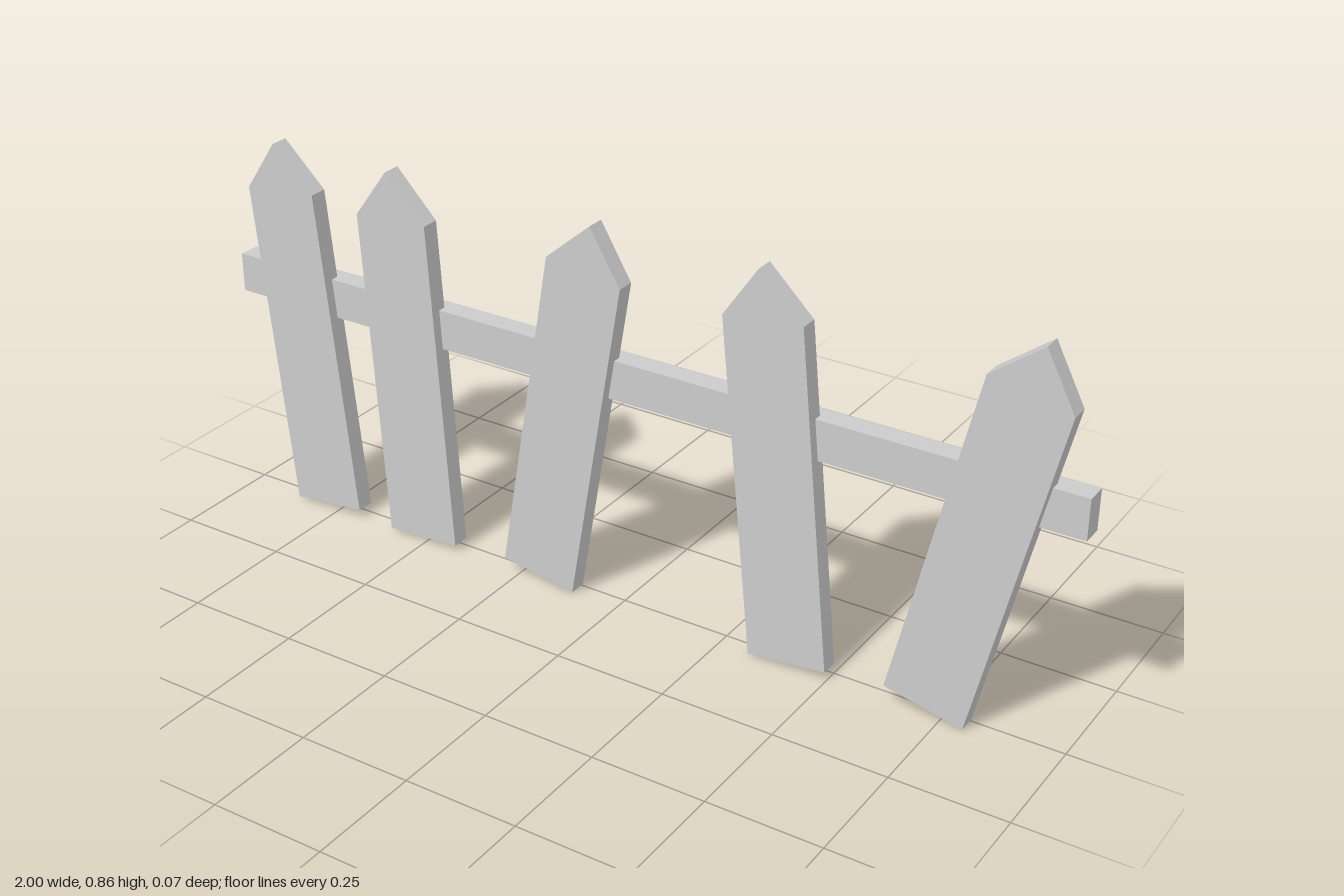
import * as THREE from 'three';

const WIDTH = 0.177, SHOULDER = 0.745, TIP = 0.85, DEPTH = 0.041;

// bottom-centre x, bottom-centre y, lean in degrees (positive leans toward -x)
const PICKETS = [
  [-0.775, 0.012, 6.0],
  [-0.508, 0.01, 3.7],
  [-0.198, 0.016, -9.4],
  [0.409, 0.012, 6.0],
  [0.714, 0.02, -12.6],
];

export function createModel() {
  const fence = new THREE.Group();
  fence.name = 'picketFence';
  const material = new THREE.MeshStandardMaterial({ color: 0xcccccc, flatShading: true });

  // Pointed board shared by all pickets
  const outline = new THREE.Shape([
    [-WIDTH / 2, 0], [WIDTH / 2, 0], [WIDTH / 2, SHOULDER], [0, TIP], [-WIDTH / 2, SHOULDER],
  ].map(([x, y]) => new THREE.Vector2(x, y)));
  const board = new THREE.ExtrudeGeometry(outline, { depth: DEPTH, bevelEnabled: false });

  // Crooked pickets in front of the rail
  PICKETS.forEach(([x, y, lean], i) => {
    const picket = new THREE.Mesh(board, material);
    picket.name = `picket${i + 1}`;
    picket.position.set(x, y, -0.005);
    picket.rotation.z = THREE.MathUtils.degToRad(lean);
    fence.add(picket);
  });

  // Horizontal rail, set slightly into the backs of the pickets
  const rail = new THREE.Mesh(new THREE.BoxGeometry(2, 0.088, 0.048), material);
  rail.name = 'rail';
  rail.position.set(0, 0.521, -0.011);
  fence.add(rail);

  return fence;
}
